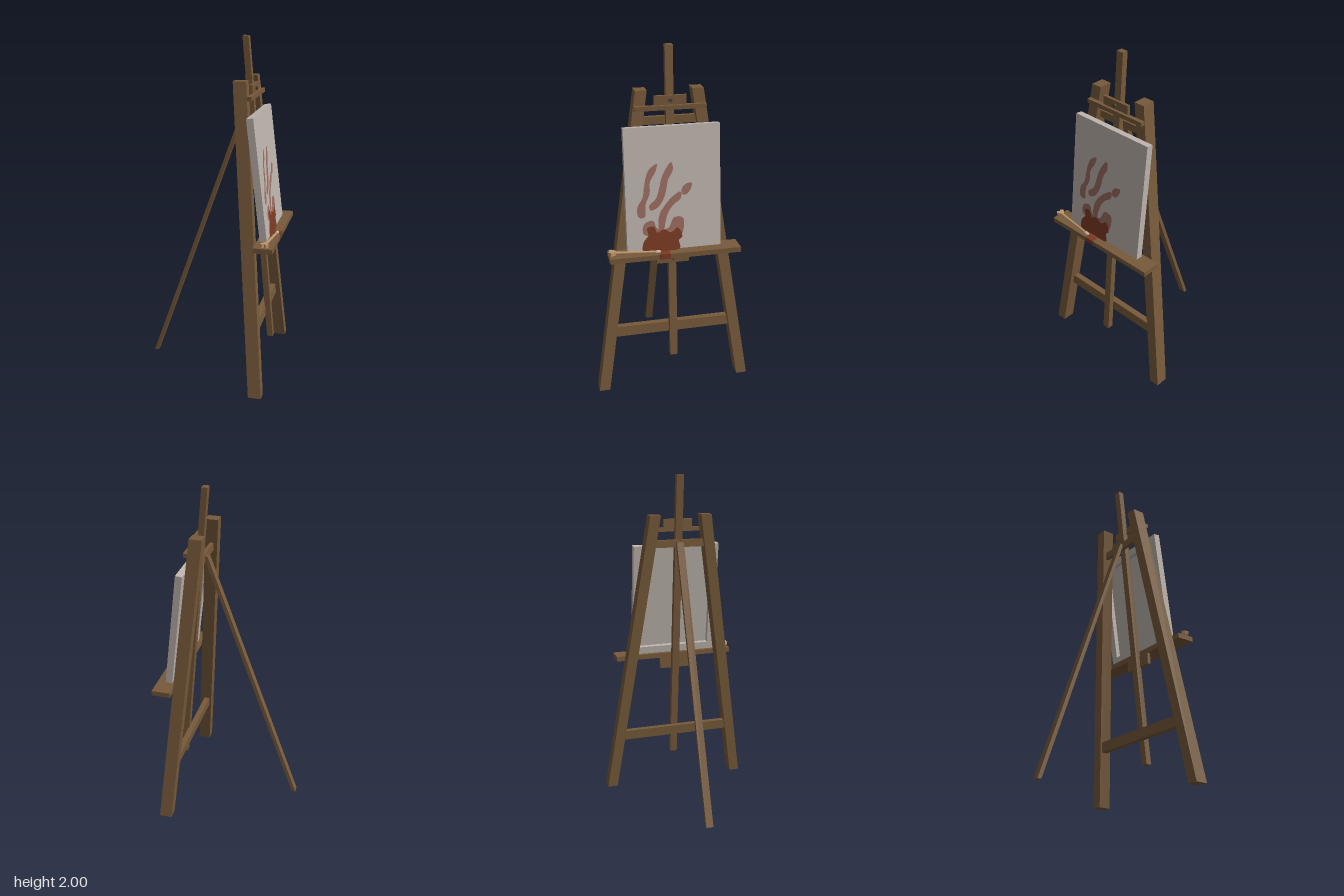
import * as THREE from 'three';

const mat = (name, color, side = THREE.FrontSide) => {
  const m = new THREE.MeshStandardMaterial({ color, side });
  m.name = name;
  return m;
};

export function createModel() {
  const wood = mat('brown wood', 0x775a3a);
  const cloth = mat('canvas cloth', 0xbdb4ad);
  const palePaint = mat('faded red paint', 0x9b6c60, THREE.DoubleSide);
  const redPaint = mat('dark red paint', 0x7b3a22, THREE.DoubleSide);
  const brushWood = mat('pale brush wood', 0xbd9468);
  const bristle = mat('bristles', 0xc4ac90);
  const metal = mat('dark metal', 0x4a4038);

  const model = new THREE.Group();
  model.name = 'easel';

  const add = (name, geo, material, parent = model) => {
    const mesh = new THREE.Mesh(geo, material);
    mesh.name = name;
    parent.add(mesh);
    return mesh;
  };

  // Axis-aligned block given by its limits
  const block = (name, [x0, x1], [y0, y1], [z0, z1], material = wood, parent = model) => {
    const geo = new THREE.BoxGeometry(x1 - x0, y1 - y0, z1 - z0);
    geo.translate((x0 + x1) / 2, (y0 + y1) / 2, (z0 + z1) / 2);
    return add(name, geo, material, parent);
  };

  // Slanted beam with level ends; each end is {y, x: [min, max], z: [min, max]}
  const beam = (name, bottom, top) => {
    const geo = new THREE.BoxGeometry(1, 1, 1);
    const p = geo.attributes.position;
    for (let i = 0; i < p.count; i++) {
      const end = p.getY(i) > 0 ? top : bottom;
      p.setXYZ(i, end.x[p.getX(i) > 0 ? 1 : 0], end.y, end.z[p.getZ(i) > 0 ? 1 : 0]);
    }
    geo.computeVertexNormals();
    return add(name, geo, wood);
  };

  // Rod between two points
  const rod = (name, a, b, ra, rb, material, parent) => {
    const from = new THREE.Vector3(...a), to = new THREE.Vector3(...b);
    const dir = to.clone().sub(from);
    const mesh = add(name, new THREE.CylinderGeometry(rb, ra, dir.length(), 10), material, parent);
    mesh.position.copy(from).add(to).multiplyScalar(0.5);
    mesh.quaternion.setFromUnitVectors(new THREE.Vector3(0, 1, 0), dir.normalize());
    return mesh;
  };

  // Front legs, splayed outwards
  for (const s of [1, -1]) {
    const span = (a, b) => (s > 0 ? [a, b] : [-b, -a]);
    beam(s > 0 ? 'leftLeg' : 'rightLeg',
      { y: 0, x: [0.297, 0.372], z: span(0.393, 0.456) },
      { y: 1.766, x: [0.135, 0.21], z: span(0.125, 0.19) });
  }

  // Centre mast and rear prop
  const mid = [-0.022, 0.022];
  beam('mast', { y: 0.185, x: [0.325, 0.36], z: mid }, { y: 2, x: [0.15, 0.185], z: mid });
  beam('rearLeg', { y: 0, x: [-0.41, -0.386], z: mid }, { y: 1.6, x: [0.157, 0.181], z: mid });

  // Cross bars, ledge and clamps
  beam('lowerCrossBar',
    { y: 0.325, x: [0.278, 0.314], z: [-0.355, 0.355] },
    { y: 0.385, x: [0.273, 0.309], z: [-0.345, 0.345] });
  block('rearCrossBar', [0.172, 0.194], [1.57, 1.615], [-0.16, 0.16]);
  block('upperCrossBar', [0.217, 0.242], [1.66, 1.685], [-0.2, 0.2]);
  block('ledge', [0.295, 0.405], [0.85, 0.88], [-0.376, 0.376]);
  block('upperClamp', [0.208, 0.226], [1.685, 1.736], [-0.09, 0.09]);
  block('lowerClamp', [0.294, 0.316], [0.78, 0.85], [-0.095, 0.095]);
  rod('upperClampScrew', [0.222, 1.71, 0], [0.238, 1.71, 0], 0.01, 0.01, metal);
  rod('lowerClampScrew', [0.31, 0.812, 0], [0.33, 0.812, 0], 0.01, 0.01, metal);

  // Canvas leaning back; local z is its front, local y runs up it
  const lean = new THREE.Group();
  lean.name = 'canvas';
  lean.position.set(0.355, 0.886, 0);
  lean.rotation.z = 0.125;
  model.add(lean);
  const canvas = new THREE.Group();
  canvas.name = 'canvasBoard';
  canvas.rotation.y = Math.PI / 2;
  lean.add(canvas);
  const W = 0.27, H = 0.7, F = 0.045;
  block('canvasFace', [-W, W], [0, H], [-0.012, 0], cloth, canvas);
  for (const s of [-1, 1]) {
    const c = s * (W - F / 2);
    block('stretcherSide', [c - F / 2, c + F / 2], [0, H], [-0.04, -0.012], cloth, canvas);
    const y = s < 0 ? 0 : H - F;
    block('stretcherRail', [F - W, W - F], [y, y + F], [-0.04, -0.012], cloth, canvas);
  }

  // Painted splashes on the canvas as smooth closed outlines
  const splash = (name, points, material, z) => {
    const curve = new THREE.CatmullRomCurve3(
      points.map(([x, y]) => new THREE.Vector3(x, y, 0)), true, 'centripetal');
    const outline = curve.getPoints(points.length * 4).slice(0, -1);
    const shape = new THREE.Shape(outline.map((v) => new THREE.Vector2(v.x, v.y)));
    add(name, new THREE.ShapeGeometry(shape), material, canvas).position.z = z;
  };
  const strokes = [
    [[-0.2, 0.2], [-0.205, 0.26], [-0.175, 0.31], [-0.165, 0.37], [-0.14, 0.46], [-0.09, 0.495],
      [-0.1, 0.45], [-0.13, 0.4], [-0.135, 0.33], [-0.16, 0.27], [-0.165, 0.2]],
    [[-0.14, 0.26], [-0.1, 0.3], [-0.08, 0.36], [-0.06, 0.43], [-0.01, 0.5], [0, 0.46],
      [-0.03, 0.4], [-0.04, 0.35], [-0.055, 0.3], [-0.09, 0.25], [-0.13, 0.235]],
    [[-0.085, 0.12], [-0.085, 0.2], [-0.05, 0.26], [0, 0.31], [0.04, 0.33], [0.04, 0.29],
      [0, 0.26], [-0.035, 0.21], [-0.05, 0.16], [-0.06, 0.12]],
    [[0.045, 0.32], [0.06, 0.365], [0.105, 0.375], [0.1, 0.345], [0.07, 0.31]],
    [[-0.175, 0.1], [-0.17, 0.16], [-0.12, 0.175], [-0.1, 0.13], [-0.06, 0.12], [-0.03, 0.13],
      [0, 0.185], [0.05, 0.18], [0.055, 0.12], [0.03, 0.07], [-0.06, 0.08]],
  ];
  strokes.forEach((p, i) => splash(`paintStroke${i + 1}`, p, palePaint, 0.002));
  splash('paintPool', [[-0.18, 0], [-0.175, 0.06], [-0.15, 0.09], [-0.155, 0.135], [-0.115, 0.14],
    [-0.1, 0.105], [-0.06, 0.12], [-0.02, 0.1], [0.02, 0.125], [0.045, 0.07], [0.025, 0.05],
    [0.03, 0]], redPaint, 0.004);

  // Paint that ran onto the ledge
  block('ledgePaint', [0.355, 0.4055], [0.88, 0.882], [0.035, 0.095], redPaint);
  block('ledgePaintDrip', [0.405, 0.407], [0.852, 0.882], [0.035, 0.095], redPaint);

  // Brush lying on the ledge
  const brush = new THREE.Group();
  brush.name = 'brush';
  model.add(brush);
  rod('brushHandle', [0.386, 0.893, 0.12], [0.361, 0.897, 0.345], 0.007, 0.009, brushWood, brush);
  const tip = add('brushTip', new THREE.SphereGeometry(1, 12, 8), bristle, brush);
  tip.scale.set(0.011, 0.01, 0.02);
  tip.position.set(0.387, 0.892, 0.105);
  const fan = new THREE.Shape([[-0.007, 0], [0.007, 0], [0.024, 0.028], [0.012, 0.045],
    [0, 0.034], [-0.012, 0.045], [-0.024, 0.028]].map((p) => new THREE.Vector2(...p)));
  const fanGeo = new THREE.ExtrudeGeometry(fan, { depth: 0.022, bevelEnabled: false });
  const head = add('brushFan', fanGeo.rotateX(Math.PI / 2), brushWood, brush);
  head.position.set(0.362, 0.908, 0.336);
  head.rotation.y = -0.11;

  return model;
}
